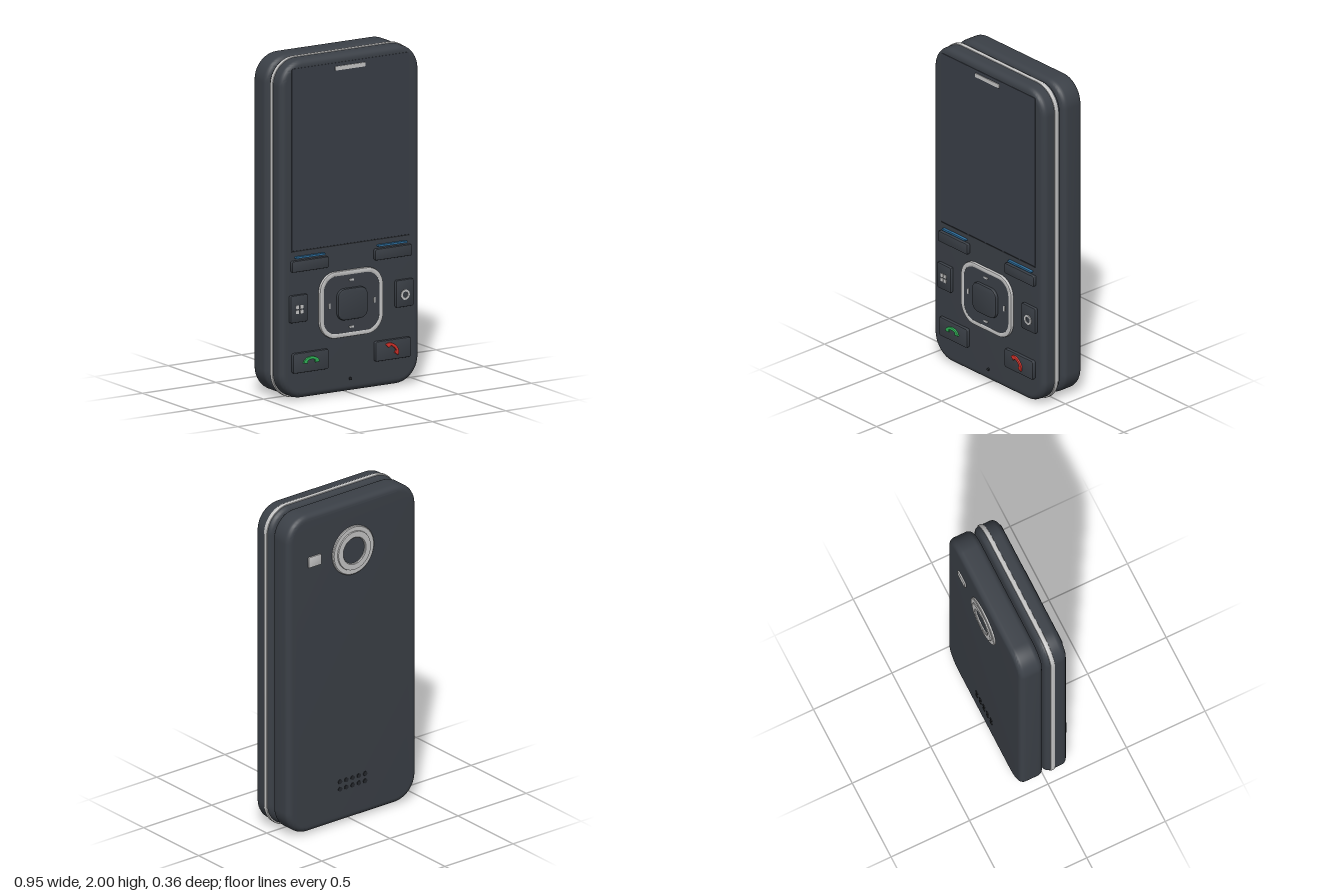
import * as THREE from 'three';
import { mergeVertices, toCreasedNormals } from 'three/addons/utils/BufferGeometryUtils.js';

const mat = (name, color) => Object.assign(new THREE.MeshStandardMaterial({ color }), { name });
const body = mat('graphite', 0x3b4047);
const panel = mat('screenGlass', 0x393e47);
const dark = mat('darkHoles', 0x25282c);
const silver = mat('silver', 0xc6c6c6);
const blue = mat('blueAccent', 0x2f6f9e);
const green = mat('callGreen', 0x2fb457);
const red = mat('endRed', 0xd8322a);

// Rounded rectangle path centred on (x, y)
function roundRect(w, h, r, x = 0, y = 0, Type = THREE.Shape) {
  const s = new Type();
  const a = w / 2 - r, b = h / 2 - r;
  s.moveTo(x + w / 2, y - b);
  s.absarc(x + a, y + b, r, 0, Math.PI / 2, false);
  s.absarc(x - a, y + b, r, Math.PI / 2, Math.PI, false);
  s.absarc(x - a, y - b, r, Math.PI, Math.PI * 1.5, false);
  s.absarc(x + a, y - b, r, Math.PI * 1.5, Math.PI * 2, false);
  return s;
}

// Extrude a shape from z0 to z1 with softly rounded rims
function solid(shape, z0, z1, bevel = 0, segments = 2) {
  let g = new THREE.ExtrudeGeometry(shape, {
    depth: z1 - z0 - 2 * bevel, curveSegments: 10, bevelEnabled: bevel > 0,
    bevelThickness: bevel, bevelSize: bevel, bevelOffset: -bevel, bevelSegments: segments,
  });
  g.translate(0, 0, z0 + bevel);
  g.deleteAttribute('uv');
  g.deleteAttribute('normal');
  g = mergeVertices(g, 1e-5);
  return toCreasedNormals(g, 0.6);
}

export function createModel() {
  const root = new THREE.Group();
  root.name = 'sliderPhone';
  const add = (name, geometry, material, parent = root) => {
    const m = new THREE.Mesh(geometry, material);
    m.name = name;
    parent.add(m);
    return m;
  };
  const block = (name, x, y, w, h, z0, z1, material, r = 0.01, bevel = 0, parent = root) =>
    add(name, solid(roundRect(w, h, r, x, y), z0, z1, bevel), material, parent);

  // Two sliding halves and the bright trim round the front one
  add('frontHalf', solid(roundRect(0.945, 1.985, 0.15, 0, 1.0025), 0, 0.14, 0.035, 6), body);
  add('backHalf', solid(roundRect(0.945, 1.985, 0.15, 0, 1.0025), -0.16, -0.012, 0.035, 6), body);
  add('silverTrim', solid(roundRect(0.955, 2, 0.155, 0, 1), 0.03, 0.058, 0.006), silver);

  // Screen and earpiece
  block('screen', 0, 1.415, 0.8, 1.07, 0.138, 0.143, panel, 0.012);
  block('screenLowerEdge', 0, 0.878, 0.8, 0.007, 0.138, 0.145, dark, 0.003);
  block('earpiece', -0.005, 1.917, 0.205, 0.024, 0.138, 0.148, silver, 0.004);
  const mic = add('microphoneHole', new THREE.CylinderGeometry(0.009, 0.009, 0.008, 12), dark);
  mic.rotation.x = Math.PI / 2;
  mic.position.set(0, 0.085, 0.143);

  // Keys mirrored on both sides
  for (const s of [-1, 1]) {
    block('softKey', s * 0.283, 0.792, 0.25, 0.066, 0.137, 0.162, body, 0.01, 0.006);
    block('softKeyLight', s * 0.28, 0.842, 0.2, 0.011, 0.138, 0.157, blue, 0.004);
    block('sideKey', s * 0.36, 0.543, 0.118, 0.16, 0.137, 0.16, body, 0.01, 0.006);
    block('phoneKey', s * 0.28, 0.224, 0.242, 0.117, 0.137, 0.162, body, 0.012, 0.006);
  }

  // Menu tiles and clear-key ring
  for (const i of [-1, 1]) for (const j of [-1, 1])
    block('menuTile', -0.36 + i * 0.014, 0.54 + j * 0.014, 0.021, 0.021, 0.158, 0.164, silver, 0.003);
  const clear = new THREE.Shape().absarc(0.36, 0.535, 0.03, 0, Math.PI * 2, false);
  clear.holes.push(new THREE.Path().absarc(0.36, 0.535, 0.018, 0, Math.PI * 2, true));
  add('clearMark', solid(clear, 0.158, 0.164), silver);

  // Navigation pad
  const ring = roundRect(0.43, 0.39, 0.11, -0.002, 0.531);
  ring.holes.push(roundRect(0.376, 0.336, 0.085, -0.002, 0.531, THREE.Path));
  add('navigationRing', solid(ring, 0.137, 0.158, 0.005), silver);
  block('navigationPad', -0.002, 0.531, 0.38, 0.34, 0.137, 0.156, body, 0.085);
  block('centreKey', -0.003, 0.531, 0.205, 0.185, 0.15, 0.175, body, 0.05, 0.008);
  for (const s of [-1, 1]) {
    block('navigationTickSide', s * 0.154, 0.531, 0.01, 0.032, 0.154, 0.161, silver, 0.003);
    block('navigationTickUpright', -0.003, 0.531 + s * 0.138, 0.03, 0.011, 0.154, 0.161, silver, 0.003);
  }

  // Handset symbols: an arch with two wider ends
  function handset(name, x, y, turn, material) {
    const g = new THREE.Group();
    g.name = name;
    const arch = new THREE.Shape();
    arch.moveTo(-0.054, -0.018);
    arch.bezierCurveTo(-0.052, 0.03, 0.052, 0.03, 0.054, -0.018);
    arch.lineTo(0.026, -0.02);
    arch.lineTo(0.024, -0.003);
    arch.quadraticCurveTo(0, 0.006, -0.024, -0.003);
    arch.lineTo(-0.026, -0.02);
    add(name + 'Mark', solid(arch, 0.158, 0.172, 0.002), material, g);
    g.position.set(x, y, 0);
    g.rotation.z = turn;
    root.add(g);
  }
  handset('callSymbol', -0.282, 0.238, 0, green);
  handset('endSymbol', 0.277, 0.238, -0.7, red);

  // Number keys hidden between the halves
  for (let row = 0; row < 4; row++) for (let col = -1; col <= 1; col++)
    block('numberKey', col * 0.265, 0.24 + row * 0.168, 0.23, 0.14, -0.014, -0.002, body, 0.02, 0.004);

  // Camera: stepped bezel turned round its axis, with a dark lens
  const bezel = [[0.08, 0], [0.15, 0], [0.15, 0.01], [0.145, 0.014], [0.12, 0.014],
    [0.118, 0.021], [0.084, 0.021], [0.08, 0.017], [0.08, 0]].map(p => new THREE.Vector2(...p));
  const camera = new THREE.Group();
  camera.name = 'rearCamera';
  add('cameraBezel', toCreasedNormals(new THREE.LatheGeometry(bezel, 48), 0.5), silver, camera);
  add('cameraLens', new THREE.CylinderGeometry(0.081, 0.081, 0.012, 40), body, camera).position.y = 0.004;
  camera.rotation.x = -Math.PI / 2;
  camera.position.set(0, 1.69, -0.159);
  root.add(camera);
  block('flash', 0.28, 1.7, 0.094, 0.065, -0.169, -0.155, silver, 0.008, 0.003);

  // Loudspeaker holes
  for (let i = -2; i <= 2; i++) for (const y of [0.216, 0.262]) {
    const hole = add('speakerHole', new THREE.CylinderGeometry(0.014, 0.014, 0.01, 14), dark);
    hole.rotation.x = Math.PI / 2;
    hole.position.set(i * 0.046, y, -0.159);
  }
  return root;
}
